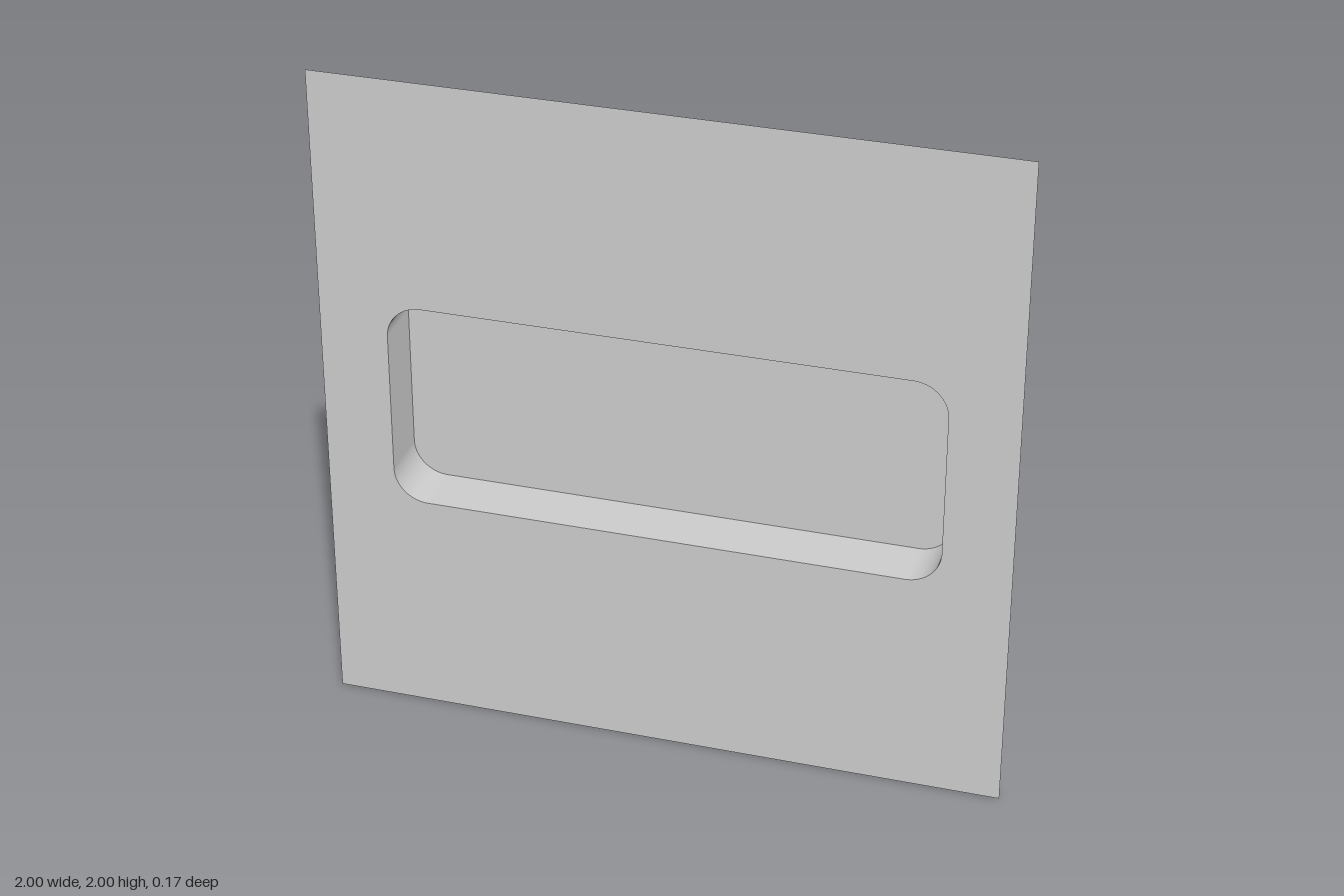
import * as THREE from 'three';

const FRONT = 0.083, BACK = -0.083;      // depth of the sheet and of the recess floor
const HALF_W = 0.8, HALF_H = 0.314, RADIUS = 0.1;

// Traces a rounded rectangle, centred at height 1, counter-clockwise
function roundedRect(path) {
  const x = HALF_W - RADIUS, y = HALF_H - RADIUS;
  path.absarc(x, 1 + y, RADIUS, 0, Math.PI / 2);
  path.absarc(-x, 1 + y, RADIUS, Math.PI / 2, Math.PI);
  path.absarc(-x, 1 - y, RADIUS, Math.PI, Math.PI * 1.5);
  path.absarc(x, 1 - y, RADIUS, Math.PI * 1.5, Math.PI * 2);
  path.closePath();
  return path;
}

// Open band joining the outline at the back to the same outline at the front
function bandGeometry(outline) {
  const n = outline.length, positions = [], index = [];
  outline.forEach(p => positions.push(p.x, p.y, BACK, p.x, p.y, FRONT));
  for (let i = 0; i < n; i++) {
    const a = 2 * i, b = 2 * ((i + 1) % n);
    index.push(a, b, b + 1, a, b + 1, a + 1);
  }
  const geometry = new THREE.BufferGeometry();
  geometry.setAttribute('position', new THREE.Float32BufferAttribute(positions, 3));
  geometry.setIndex(index);
  geometry.computeVertexNormals();
  return geometry;
}

export function createModel() {
  const group = new THREE.Group();
  group.name = 'recessedPanel';
  const material = new THREE.MeshStandardMaterial({ color: 0xcccccc, side: THREE.DoubleSide });
  const add = (name, geometry, z = 0) => {
    const mesh = new THREE.Mesh(geometry, material);
    mesh.name = name;
    mesh.position.z = z;
    group.add(mesh);
  };

  // Thin square sheet with a rounded opening
  const sheet = new THREE.Shape([[-1, 0], [1, 0], [1, 2], [-1, 2]].map(p => new THREE.Vector2(...p)));
  sheet.holes.push(roundedRect(new THREE.Path()));
  add('wallSheet', new THREE.ShapeGeometry(sheet, 16), FRONT);

  // Recess behind the opening: side wall and floor
  const recess = roundedRect(new THREE.Shape());
  const outline = recess.getPoints(16);
  if (outline[0].distanceTo(outline[outline.length - 1]) < 1e-6) outline.pop();
  add('recessSide', bandGeometry(outline));
  add('recessFloor', new THREE.ShapeGeometry(recess, 16), BACK);

  return group;
}
